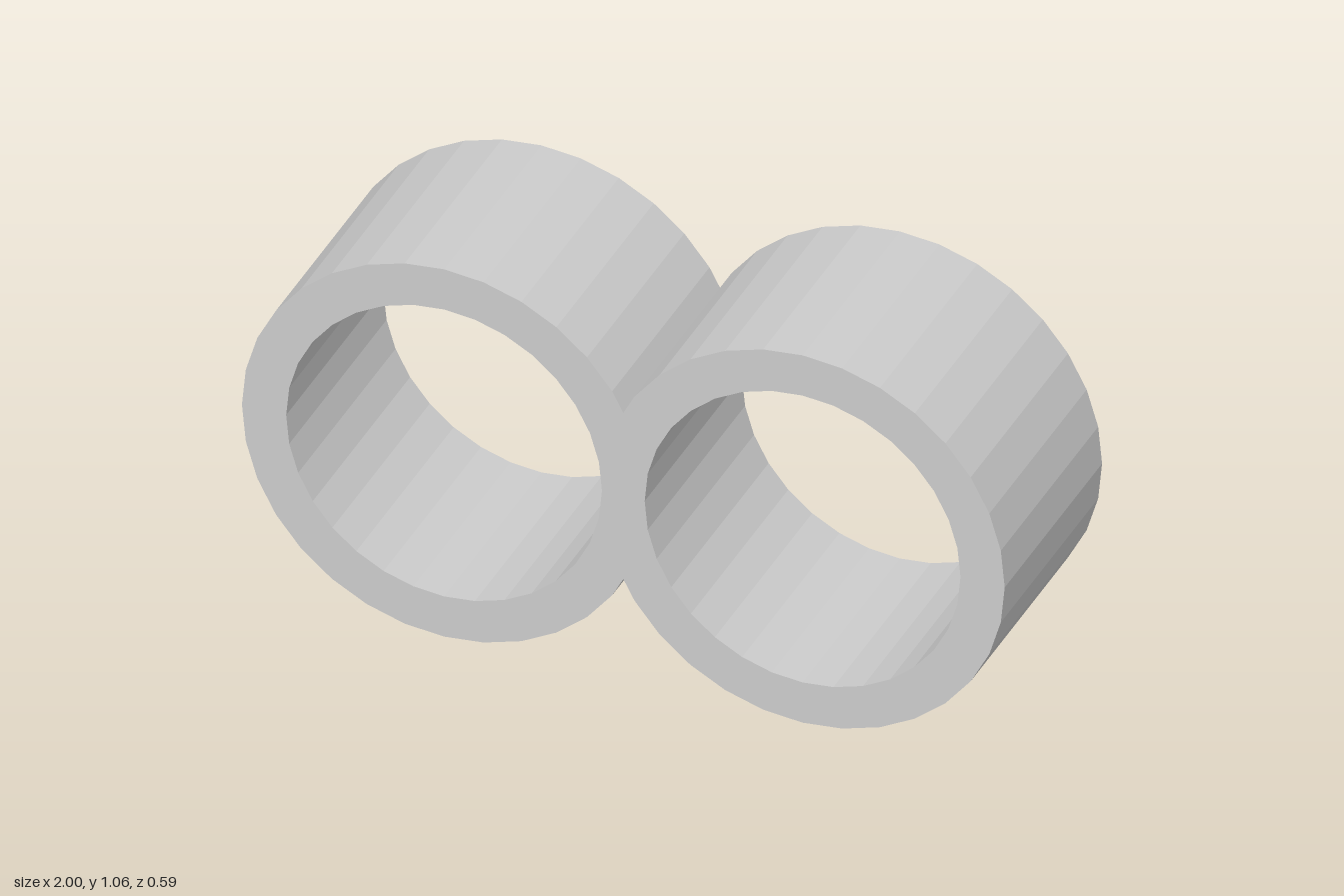
import * as THREE from 'three';

const OUTER = 0.53, INNER = 0.414, CENTRE = 0.47, MID = 0.53, DEPTH = 0.588, SIDES = 32;

// Corner i of a regular polygon around (cx, MID)
function corner(cx, r, i) {
  const a = (i / SIDES) * Math.PI * 2;
  return new THREE.Vector2(cx + r * Math.cos(a), MID + r * Math.sin(a));
}

export function createModel() {
  const group = new THREE.Group();
  const grey = new THREE.MeshStandardMaterial({ color: 0xcccccc });
  grey.name = 'light grey';

  // Right lobe up to the notch where the two rings meet on x = 0
  const lobe = [];
  for (let i = -13; i <= 13; i++) lobe.push(corner(CENTRE, OUTER, i));
  const a = corner(CENTRE, OUTER, 13), b = corner(CENTRE, OUTER, 14);
  const notch = a.clone().lerp(b, a.x / (a.x - b.x));
  notch.x = 0;

  // Outline: lobe, upper notch, mirrored lobe, lower notch
  const mirrored = lobe.map(p => new THREE.Vector2(-p.x, p.y)).reverse();
  const outline = new THREE.Shape([
    ...lobe, notch, ...mirrored, new THREE.Vector2(0, 2 * MID - notch.y),
  ]);

  // Round opening in each ring
  for (const side of [-1, 1]) {
    const hole = [];
    for (let i = 0; i < SIDES; i++) hole.push(corner(side * CENTRE, INNER, -i));
    outline.holes.push(new THREE.Path(hole));
  }

  const geometry = new THREE.ExtrudeGeometry(outline, { depth: DEPTH, bevelEnabled: false });
  geometry.translate(0, 0, -DEPTH / 2);
  const rings = new THREE.Mesh(geometry, grey);
  rings.name = 'joinedRings';
  group.add(rings);
  return group;
}
